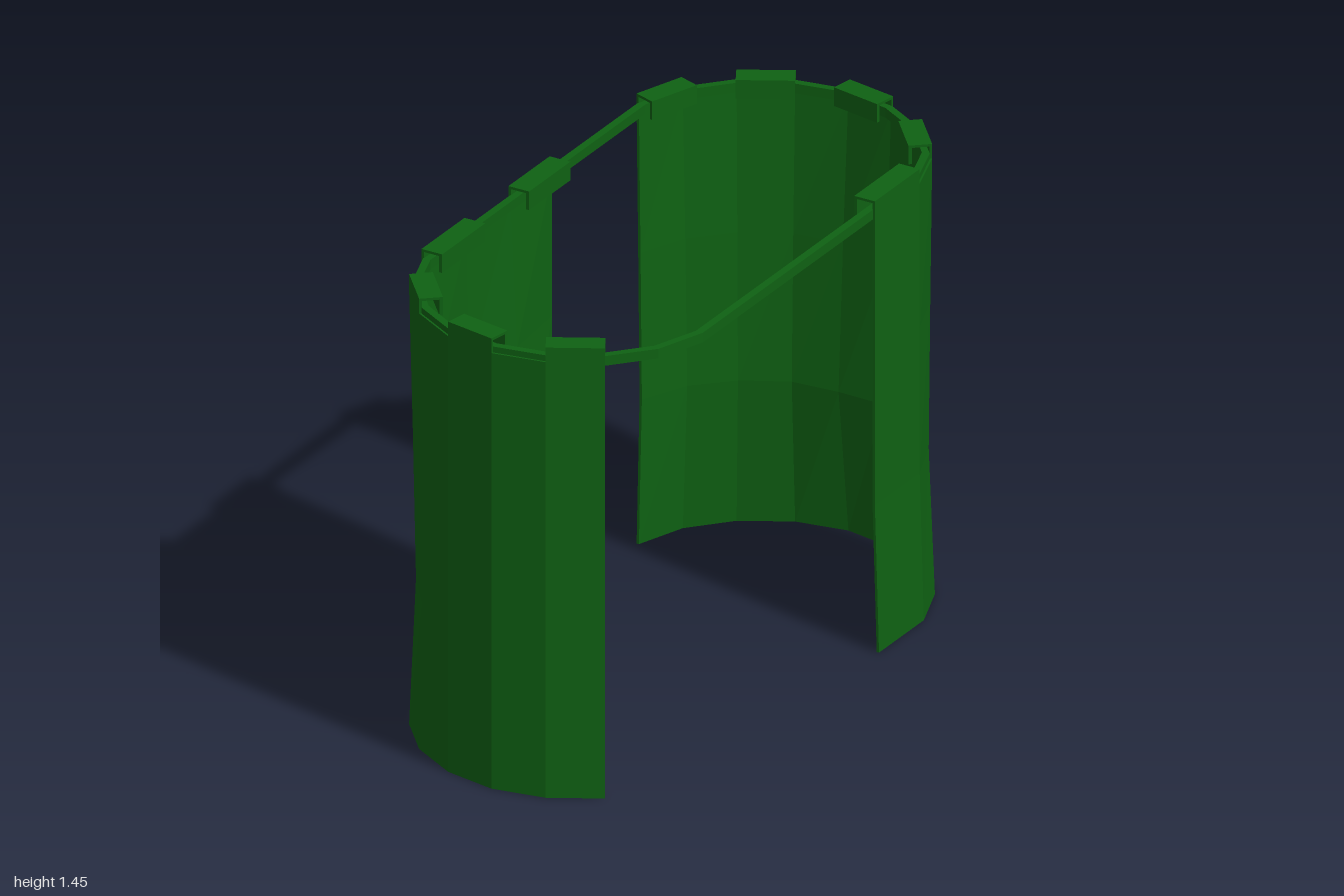
import * as THREE from 'three';

const CX = -0.009; // sideways centre of the rail
const HALF = 0.48, END = 0.6, DEPTH = 0.4;

// quarter of the rounded end, from the side to the middle
const ARC = [[0.48, 0.6], [0.425, 0.76], [0.315, 0.885], [0.165, 0.97], [0, 1]];
const flip = (pts, sx, sz) => pts.map(([x, z]) => [x * sx, z * sz]);

// both ends, running counter-clockwise seen from above
const FRONT_END = [...flip(ARC, -1, 1), ...ARC.slice(0, 4).reverse()];
const BACK_END = flip(FRONT_END, -1, -1);

// outward direction of the outline at a point
function normalAt([x, z]) {
  const over = Math.sign(z) * Math.max(0, Math.abs(z) - END);
  return new THREE.Vector2(x / HALF ** 2, over / DEPTH ** 2).normalize();
}

function place([x, z], n, off, y) {
  return new THREE.Vector3(CX + x + n.x * off, y, z + n.y * off);
}

// skin a row of rings; open rows get end caps
function loft(rings, closed) {
  const n = rings[0].length;
  const pos = [], idx = [];
  rings.forEach(r => r.forEach(p => pos.push(p.x, p.y, p.z)));
  const quad = (a, b, c, d) => idx.push(a, b, c, a, c, d);
  const spans = closed ? rings.length : rings.length - 1;
  for (let c = 0; c < spans; c++) {
    const a = c * n, b = ((c + 1) % rings.length) * n;
    for (let i = 0; i < n; i++) {
      const j = (i + 1) % n;
      quad(a + i, b + i, b + j, a + j);
    }
  }
  if (!closed) {
    const e = (rings.length - 1) * n;
    for (let i = 0; i < n / 2 - 1; i++) {
      quad(i, i + 1, n - 2 - i, n - 1 - i);
      quad(e + n - 1 - i, e + n - 2 - i, e + i + 1, e + i);
    }
  }
  const geo = new THREE.BufferGeometry();
  geo.setAttribute('position', new THREE.Float32BufferAttribute(pos, 3));
  geo.setIndex(idx);
  const flat = geo.toNonIndexed();
  flat.computeVertexNormals();
  return flat;
}

// thin cloth panel, drawn in at mid height and flared at the hem
function curtainGeometry(cols, pinch, flare) {
  const rows = [0, 0.47, 0.94, 1.405];
  const thick = 0.008;
  return loft(cols.map((p, c) => {
    const n = normalAt(p);
    const offs = [flare[c] || 0, -pinch[c], -pinch[c] * 0.55, 0];
    const outer = rows.map((y, r) => place(p, n, offs[r], y));
    const inner = rows.map((y, r) => place(p, n, offs[r] - thick, y)).reverse();
    return [...outer, ...inner];
  }), false);
}

// strip of cloth folded over the rail between two columns
const TAB = [[0, 1.4], [0, 1.452], [-0.07, 1.452], [-0.07, 1.392],
  [-0.06, 1.392], [-0.06, 1.444], [-0.008, 1.444], [-0.008, 1.4]];

function tabGeometry(a, b) {
  const n = new THREE.Vector2(-(b[1] - a[1]), b[0] - a[0]).normalize();
  return loft([a, b].map(p => TAB.map(([off, y]) => place(p, n, off, y))), false);
}

export function createModel() {
  const model = new THREE.Group();
  model.name = 'curtainBooth';
  const green = new THREE.MeshStandardMaterial({ color: 0x0f6213, flatShading: true });
  const add = (parent, geo, name) => {
    const mesh = new THREE.Mesh(geo, green);
    mesh.name = name;
    parent.add(mesh);
  };

  // rail: square bar around the whole loop
  const section = [[-0.006, 1.393], [-0.006, 1.424], [-0.03, 1.424], [-0.03, 1.393]];
  add(model, loft([...FRONT_END, ...BACK_END].map(p => {
    const n = normalAt(p);
    return section.map(([off, y]) => place(p, n, off, y));
  }), true), 'rail');

  // curtains, with a tab over every second span
  const curtains = [
    {
      name: 'frontCurtain',
      cols: [[-0.48, -0.115], [-0.48, 0.115], [-0.48, 0.36], ...FRONT_END.slice(0, 7)],
      pinch: [0, 0.04, 0.005, 0.03, 0.02, 0.01, 0, 0, 0, 0],
      flare: [],
    },
    {
      name: 'backCurtain',
      cols: [[0.48, -0.35], ...BACK_END],
      pinch: [0, 0, 0.01, 0.02, 0.03, 0.055, 0.04, 0.035, 0.025, 0.01],
      flare: [0.014, 0.014, 0.008],
    },
  ];
  for (const { name, cols, pinch, flare } of curtains) {
    const group = new THREE.Group();
    group.name = name;
    add(group, curtainGeometry(cols, pinch, flare), 'cloth');
    for (let c = 0; c < cols.length - 1; c += 2) {
      add(group, tabGeometry(cols[c], cols[c + 1]), 'tab');
    }
    model.add(group);
  }
  return model;
}
